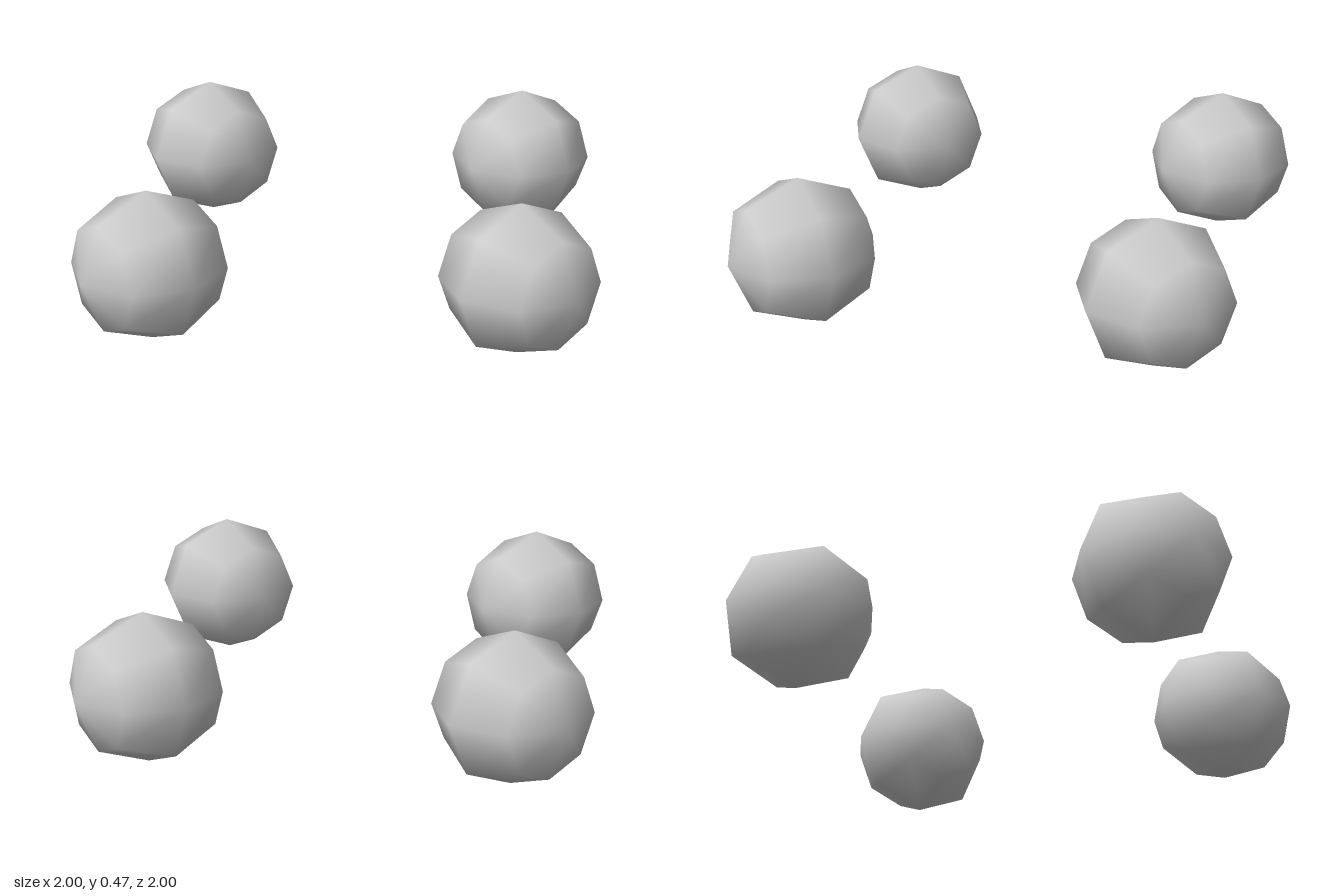
import * as THREE from 'three';

const RADIUS = 0.234;
const OFFSET = 1 - RADIUS;

export function createModel() {
  const group = new THREE.Group();
  const material = new THREE.MeshStandardMaterial({ color: 0xcccccc });

  // Coarse smooth-shaded balls in a cross, each with its poles pointing at the centre
  const ball = new THREE.SphereGeometry(RADIUS, 8, 4);
  const alongX = ball.clone().rotateZ(Math.PI / 2);
  const alongZ = ball.clone().rotateX(Math.PI / 2);

  const addBall = (name, geometry, x, z) => {
    const mesh = new THREE.Mesh(geometry, material);
    mesh.name = name;
    mesh.position.set(x, RADIUS, z);
    group.add(mesh);
  };

  addBall('leftBall', alongX, OFFSET, 0);
  addBall('rightBall', alongX, -OFFSET, 0);
  addBall('frontBall', alongZ, 0, OFFSET);
  addBall('backBall', alongZ, 0, -OFFSET);

  return group;
}
